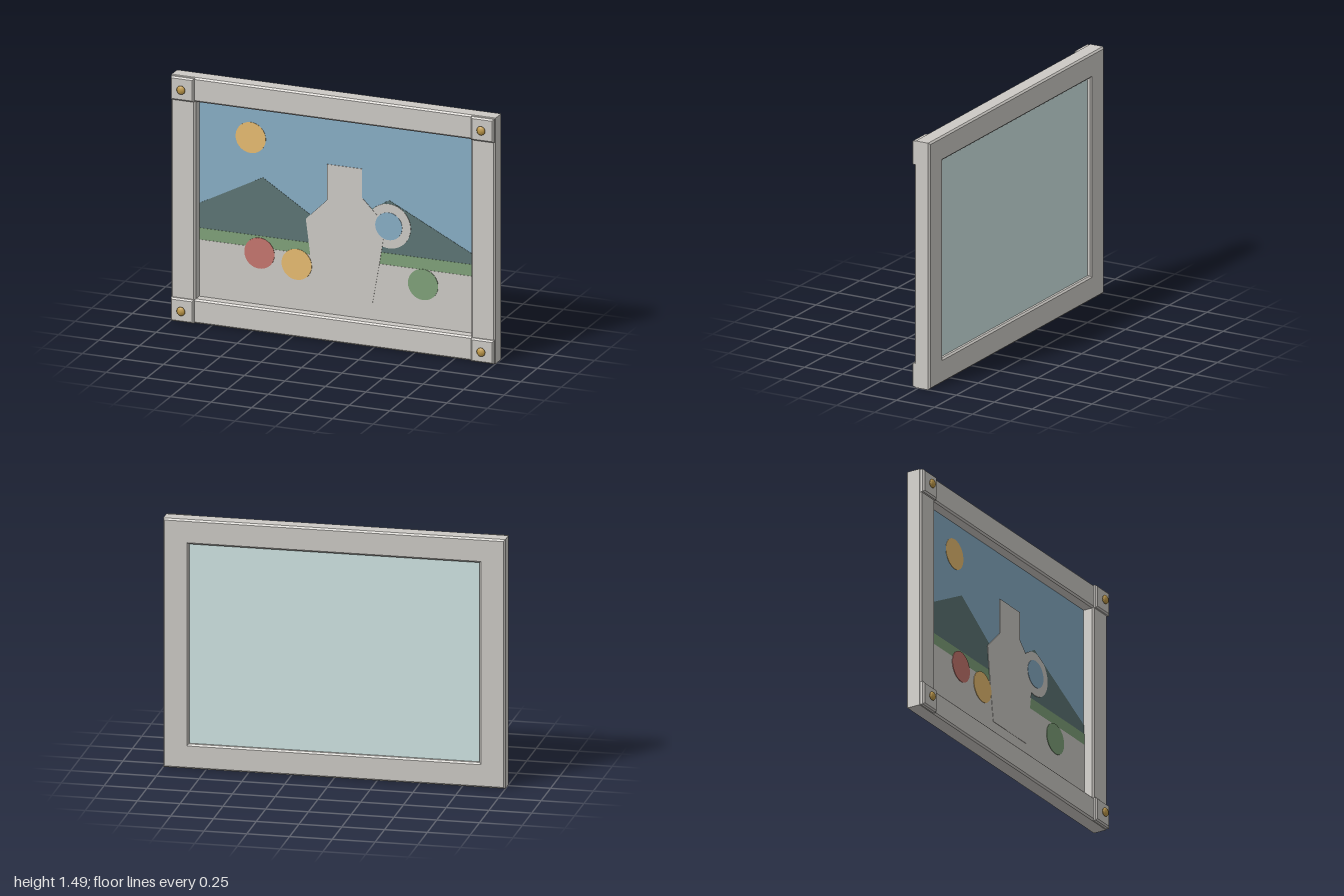
import * as THREE from 'three';

const mat = (name, color) => {
  const m = new THREE.MeshStandardMaterial({ color });
  m.name = name;
  return m;
};

const polygon = (points) => new THREE.Shape(points.map(([x, y]) => new THREE.Vector2(x, y)));
const rect = (x0, y0, x1, y1) => polygon([[x0, y0], [x1, y0], [x1, y1], [x0, y1]]);
const disc = (x, y, r) => new THREE.Shape().absarc(x, y, r, 0, Math.PI * 2, false);

export function createModel() {
  const model = new THREE.Group();
  model.name = 'framedPicture';

  const stone = mat('pale stone', 0xcdcac5);
  const brass = mat('brass', 0xc09a4a);
  const backing = mat('pale backing', 0xd0e6e4);
  const sky = mat('sky blue', 0x88aec6);
  const slate = mat('mountain slate', 0x5c7574);
  const green = mat('leaf green', 0x7fa179);
  const red = mat('fruit red', 0xc6766e);
  const yellow = mat('warm yellow', 0xe8bd71);

  const add = (name, geometry, material, parent = model) => {
    const mesh = new THREE.Mesh(geometry, material);
    mesh.name = name;
    parent.add(mesh);
    return mesh;
  };

  // Chamfered slab between two depths; the shape gives its widest outline
  const slab = (shape, z0, z1, bevel) => new THREE.ExtrudeGeometry(shape, {
    depth: z1 - z0 - 2 * bevel, bevelEnabled: true, bevelSegments: 1,
    bevelSize: bevel, bevelThickness: bevel, bevelOffset: -bevel,
  }).translate(0, 0, z0 + bevel);

  const H = 1.486, IX = 0.85, Y0 = 0.147, Y1 = 1.339;

  // Frame with a rectangular opening
  const outline = rect(-1, 0, 1, H);
  outline.holes.push(rect(-IX, Y0, IX, Y1));
  add('frame', slab(outline, -0.074, 0.028, 0.01), stone);

  // Corner blocks with a flattened round stud on each
  for (const sx of [-1, 1]) {
    for (const top of [false, true]) {
      const corner = new THREE.Group();
      corner.name = (top ? 'top' : 'bottom') + (sx > 0 ? 'Left' : 'Right') + 'Corner';
      corner.position.set(sx * 0.926, top ? H - 0.074 : 0.074, 0);
      add('cornerBlock', slab(rect(-0.071, -0.071, 0.071, 0.071), 0, 0.046, 0.009), stone, corner);
      const stud = add('stud', new THREE.SphereGeometry(0.027, 8, 6), brass, corner);
      stud.scale.z = 0.52;
      stud.position.z = 0.06;
      model.add(corner);
    }
  }

  // Backing board set into the frame
  add('backingBoard', new THREE.BoxGeometry(2 * IX, Y1 - Y0, 0.008)
    .translate(0, (Y0 + Y1) / 2, -0.046), backing);

  // Picture, built from thin plates stacked towards the front
  const picture = new THREE.Group();
  picture.name = 'picture';
  model.add(picture);
  const plate = (name, shape, material, layer) => add(name,
    new THREE.ExtrudeGeometry(shape, { depth: 0.003, bevelEnabled: false, curveSegments: 24 })
      .translate(0, 0, -0.042 + layer * 0.002), material, picture);

  plate('sky', rect(-IX, Y0, IX, Y1), sky, 0);
  plate('sun', disc(-0.535, 1.146, 0.093), yellow, 1);
  plate('mountains', polygon([
    [-IX, 0.5], [IX, 0.5], [IX, 0.615], [0.32, 0.88], [-0.053, 0.657], [-0.46, 0.915], [-IX, 0.71],
  ]), slate, 1);
  plate('meadow', rect(-IX, 0.45, IX, 0.56), green, 2);
  plate('table', rect(-IX, Y0, IX, 0.49), stone, 3);

  // Jug with ring handle
  plate('jugHandle', disc(0.32, 0.725, 0.134), stone, 3);
  plate('jug', polygon([
    [-0.13, 0.25], [0.22, 0.25], [0.262, 0.49], [0.3, 0.73],
    [0.155, 0.875], [0.155, 1.05], [-0.06, 1.05], [-0.06, 0.835], [-0.192, 0.703], [-0.165, 0.49],
  ]), stone, 4);
  plate('handleOpening', disc(0.32, 0.725, 0.083), sky, 5);

  // Fruit on the table
  plate('redFruit', disc(-0.478, 0.457, 0.093), red, 5);
  plate('yellowFruit', disc(-0.248, 0.42, 0.093), yellow, 5);
  plate('greenFruit', disc(0.532, 0.401, 0.093), green, 5);

  return model;
}
